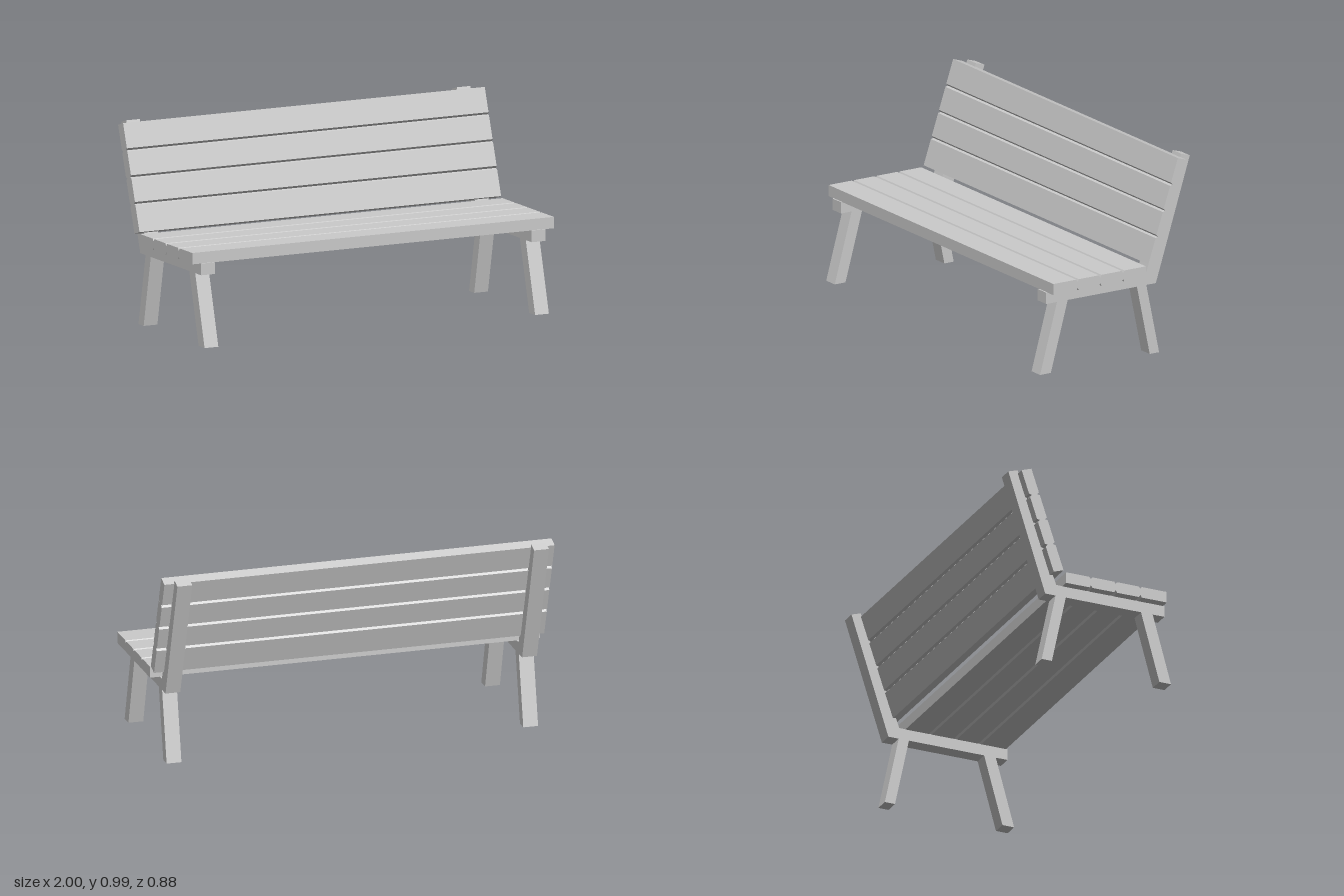
import * as THREE from 'three';

const material = new THREE.MeshStandardMaterial({ color: 0xcccccc, flatShading: true });

// Extrudes a side profile of [z, y] points along x, centred on cx
function bar(name, profile, width, cx = 0) {
  const shape = new THREE.Shape(profile.map(([z, y]) => new THREE.Vector2(z, y)));
  const geometry = new THREE.ExtrudeGeometry(shape, { depth: width, bevelEnabled: false });
  geometry.rotateY(-Math.PI / 2);
  geometry.translate(cx + width / 2, 0, 0);
  const mesh = new THREE.Mesh(geometry, material);
  mesh.name = name;
  return mesh;
}

// Four planks side by side, chamfered where they meet.
// origin: start of the visible face, dir: along the row, inward: through the thickness (all [z, y])
function planks(name, origin, dir, inward, thickness) {
  const group = new THREE.Group();
  group.name = name + 's';
  const joints = [0, 0.142, 0.275, 0.409, 0.543];
  const cut = 0.008, deep = 0.013;
  const at = (u, v) => [0, 1].map((i) => origin[i] + dir[i] * u + inward[i] * v);
  for (let i = 0; i < 4; i++) {
    const a = joints[i], b = joints[i + 1];
    const start = i === 0
      ? [at(a, thickness), at(a, 0)]
      : [at(a + cut, thickness), at(a, thickness - deep), at(a, deep), at(a + cut, 0)];
    const end = i === 3
      ? [at(b, 0), at(b, thickness)]
      : [at(b - cut, 0), at(b, deep), at(b, thickness - deep), at(b - cut, thickness)];
    group.add(bar(name, [...start, ...end], 2));
  }
  return group;
}

// Side frame: seat rail running into the tapered back post, plus two splayed legs
function sideFrame(name, cx) {
  const group = new THREE.Group();
  group.name = name;
  const width = 0.076;
  group.add(
    bar('railAndBackPost', [
      [0.403, 0.357], [-0.24, 0.357], [-0.439, 0.978],
      [-0.389, 0.994], [-0.181, 0.415], [0.403, 0.415],
    ], width, cx),
    bar('frontLeg', [[0.439, 0], [0.376, 0], [0.277, 0.357], [0.34, 0.357]], width, cx),
    bar('rearLeg', [[-0.204, 0], [-0.259, 0], [-0.184, 0.357], [-0.129, 0.357]], width, cx),
  );
  return group;
}

export function createModel() {
  const bench = new THREE.Group();
  bench.name = 'bench';
  bench.add(
    sideFrame('leftFrame', 0.911),
    sideFrame('rightFrame', -0.917),
    planks('seatPlank', [0.395, 0.471], [-1, 0], [0, -1], 0.057),
    planks('backPlank', [-0.162, 0.479], [-0.319, 0.948], [-0.948, -0.319], 0.056),
  );
  return bench;
}
